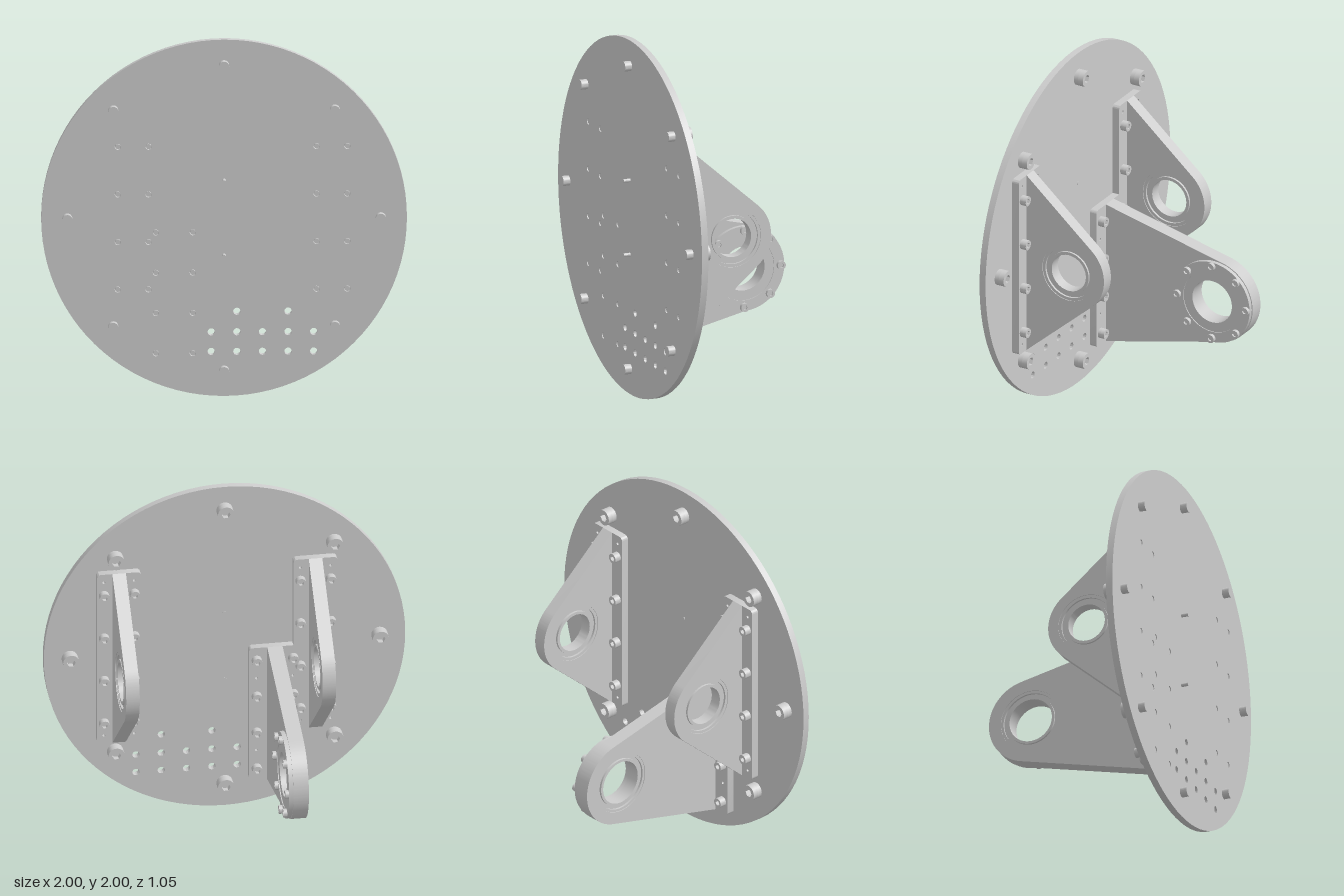
import * as THREE from 'three';
import { toCreasedNormals } from 'three/addons/utils/BufferGeometryUtils.js';

const grey = new THREE.MeshStandardMaterial({ color: 0xcccccc });
const BACK = 0.447, FRONT = 0.485, FOOT = 0.405; // plate back, plate front, flange top (z)

function mesh(name, geometry, parent) {
  const m = new THREE.Mesh(toCreasedNormals(geometry, 0.5), grey);
  m.name = name;
  parent.add(m);
  return m;
}

function extrude(shape, depth, curveSegments = 12) {
  return new THREE.ExtrudeGeometry(shape, { depth, curveSegments, bevelEnabled: false });
}

function disc(r) {
  const s = new THREE.Shape();
  s.absarc(0, 0, r, 0, Math.PI * 2, false);
  return s;
}

function hole(shape, x, y, r) {
  const p = new THREE.Path();
  p.absarc(x, y, r, 0, Math.PI * 2, true);
  shape.holes.push(p);
}

// Solid ring around the x axis, from a closed [radius, x] profile
function ring(name, profile, parent) {
  const pts = [...profile, profile[0]].map(([r, x]) => new THREE.Vector2(r, x));
  return mesh(name, new THREE.LatheGeometry(pts, 64).rotateZ(-Math.PI / 2), parent);
}

// Socket head screw: head towards -z, shank towards +z, seated at z = 0
function screw(name, r, head, shankR, shankLength) {
  const g = new THREE.Group();
  g.name = name;
  const rim = disc(r), hex = new THREE.Path();
  for (let i = 0; i < 6; i++) {
    const a = -i * Math.PI / 3;
    hex[i ? 'lineTo' : 'moveTo'](Math.cos(a) * r * 0.55, Math.sin(a) * r * 0.55);
  }
  hex.closePath();
  rim.holes.push(hex);
  mesh('headRim', extrude(rim, head * 0.55), g).position.z = -head;
  mesh('headBase', extrude(disc(r), head * 0.45), g).position.z = -head * 0.45;
  mesh('shank', extrude(disc(shankR), shankLength), g);
  return g;
}

// Bracket with a screwed foot and a web narrowing to a round eye
function bracket(o) {
  const g = new THREE.Group();
  g.name = o.name;
  const { x, y, h, eyeZ, eyeR, bore, thick } = o;

  // Web outline in (z, y), tangent to the eye
  const dz = FOOT - eyeZ;
  const t = Math.atan2(h, dz) + Math.acos(eyeR / Math.hypot(dz, h));
  const web = new THREE.Shape();
  web.moveTo(FOOT, y - h);
  web.lineTo(FOOT, y + h);
  web.absarc(eyeZ, y, eyeR, t, Math.PI * 2 - t, false);
  web.closePath();
  hole(web, eyeZ, y, bore);
  const w = mesh('web', extrude(web, thick, 40), g);
  w.rotation.y = -Math.PI / 2;
  w.position.x = x + thick / 2;

  // Foot with rounded corners and dowel holes
  const a = o.footHalf, c = 0.022, foot = new THREE.Shape();
  foot.absarc(a - c, h - c, c, 0, Math.PI / 2, false);
  foot.absarc(c - a, h - c, c, Math.PI / 2, Math.PI, false);
  foot.absarc(c - a, c - h, c, Math.PI, Math.PI * 1.5, false);
  foot.absarc(a - c, c - h, c, Math.PI * 1.5, Math.PI * 2, false);
  foot.closePath();
  for (const s of [-1, 1]) for (const d of [-1, 1]) hole(foot, s * o.screwX, d * o.dowelY, 0.008);
  mesh('foot', extrude(foot, BACK - FOOT), g).position.set(x, y, FOOT);

  for (const [sx, sy] of screwSpots(o)) {
    const s = screw('footScrew', 0.028, 0.038, 0.014, FRONT - FOOT - 0.004);
    s.position.set(sx, sy, FOOT);
    g.add(s);
  }

  // Bearing with a groove between its races on both faces
  const b = thick / 2 - 0.004, n = b - 0.012, i = o.inner, k = bore - i;
  const r1 = i + k * 0.3, r2 = i + k * 0.7;
  ring('bearing', [[i, -b], [r1, -b], [r1, -n], [r2, -n], [r2, -b], [bore, -b],
    [bore, b], [r2, b], [r2, n], [r1, n], [r1, b], [i, b]], g).position.set(x, y, eyeZ);
  return g;
}

function screwSpots(o) {
  const spots = [];
  for (const s of [-1, 1])
    for (const k of [-1.5, -0.5, 0.5, 1.5]) spots.push([o.x + s * o.screwX, o.y + k * o.pitch]);
  return spots;
}

export function createModel() {
  const model = new THREE.Group();
  model.name = 'bracketPlate';

  const small = { y: 1, h: 0.53, eyeZ: 0.14, eyeR: 0.225, bore: 0.165, inner: 0.108,
    thick: 0.075, footHalf: 0.122, screwX: 0.084, pitch: 0.267, dowelY: 0.48 };
  const brackets = [
    { ...small, name: 'rightBracket', x: -0.497 },
    { ...small, name: 'leftBracket', x: 0.59 },
    { name: 'largeBracket', x: -0.272, y: 0.58, h: 0.415, eyeZ: -0.28, eyeR: 0.245, bore: 0.175,
      inner: 0.125, thick: 0.085, footHalf: 0.143, screwX: 0.101, pitch: 0.226, dowelY: 0.226 },
  ];

  // Round base plate with its screw holes and a grid of open holes
  const plate = disc(1);
  for (const o of brackets) for (const [x, y] of screwSpots(o)) hole(plate, x, y - 1, 0.017);
  for (let i = 0; i < 5; i++) {
    const x = -0.07 + i * 0.14;
    for (const y of [0.25, 0.36]) hole(plate, x, y - 1, 0.02);
    if (i % 2) hole(plate, x, 0.475 - 1, 0.02);
  }
  mesh('basePlate', extrude(plate, FRONT - BACK, 48), model).position.set(0, 1, BACK);

  // Rim bolts
  for (let i = 0; i < 8; i++) {
    const a = i * Math.PI / 4;
    const bolt = screw('rimBolt', 0.045, 0.057, 0.028, 0.525 - BACK);
    bolt.position.set(Math.cos(a) * 0.857, 1 + Math.sin(a) * 0.857, BACK);
    model.add(bolt);
  }

  // Locating pins
  for (const y of [0.79, 1.21])
    mesh('locatingPin', extrude(disc(0.01), 0.525 - BACK + 0.003), model).position.set(0, y, BACK - 0.003);

  for (const o of brackets) model.add(bracket(o));

  // Bearing cap on the large bracket, with a circle of screws
  const cap = new THREE.Group();
  cap.name = 'bearingCap';
  cap.position.set(-0.2295, 0.58, -0.28);
  ring('capRing', [[0.125, -0.004], [0.24, -0.004], [0.24, 0.024], [0.18, 0.024],
    [0.18, 0.019], [0.125, 0.019]], cap);
  for (let i = 0; i < 8; i++) {
    const a = i * Math.PI / 4;
    const s = screw('capScrew', 0.024, 0.02, 0.012, 0.02);
    s.rotation.y = -Math.PI / 2;
    s.position.set(0.024, Math.sin(a) * 0.217, Math.cos(a) * 0.217);
    cap.add(s);
  }
  model.add(cap);
  return model;
}
